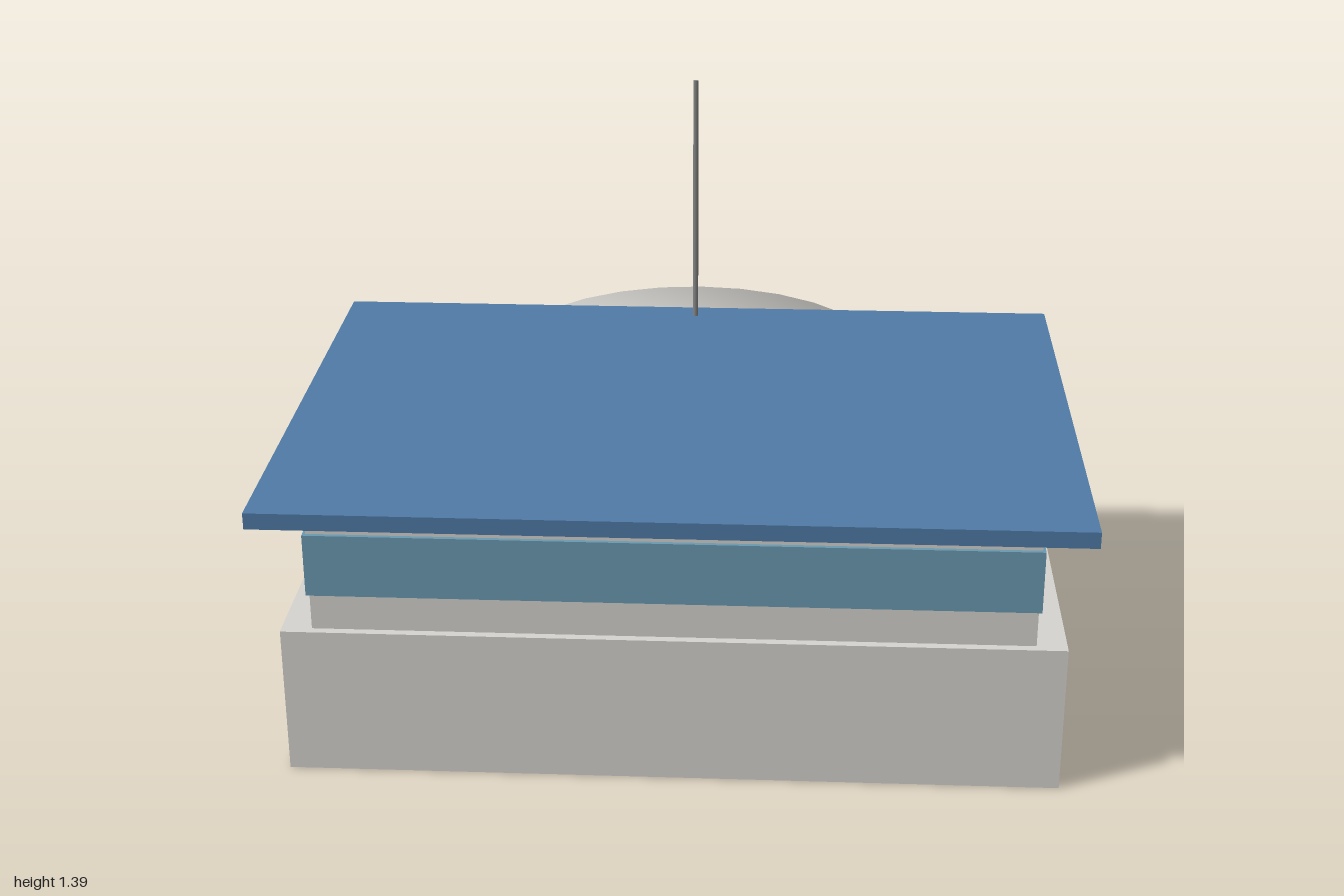
import * as THREE from 'three';
import { mergeVertices } from 'three/addons/utils/BufferGeometryUtils.js';

const material = (name, color) => {
  const m = new THREE.MeshStandardMaterial({ color });
  m.name = name;
  return m;
};

export function createModel() {
  const group = new THREE.Group();
  const wall = material('pale wall', 0xd6d4d0);
  const glass = material('blue glass', 0x6a9ab0);
  const roofBlue = material('roof blue', 0x4f7aa6);
  const timber = material('timber', 0xb8a082);
  const metal = material('grey metal', 0x858585);

  const add = (name, geometry, mat, x, y, z) => {
    const mesh = new THREE.Mesh(geometry, mat);
    mesh.name = name;
    mesh.position.set(x, y, z);
    group.add(mesh);
  };

  // Box centred on x, given by its half width and its y and z ranges
  const block = (name, mat, halfX, y0, y1, z0, z1) =>
    add(name, new THREE.BoxGeometry(2 * halfX, y1 - y0, z1 - z0), mat,
      0, (y0 + y1) / 2, (z0 + z1) / 2);

  // Capped drum with normals blended over its rims
  const drum = (name, mat, radius, y0, y1, z) => {
    const g = new THREE.CylinderGeometry(radius, radius, y1 - y0, 28);
    g.deleteAttribute('normal');
    g.deleteAttribute('uv');
    const merged = mergeVertices(g);
    merged.computeVertexNormals();
    add(name, merged, mat, 0, (y0 + y1) / 2, z);
  };

  // Storeys and terrace
  block('lowerStorey', wall, 0.92, 0.001, 0.372, -0.28, 0.8);
  block('terraceDeck', timber, 1, 0, 0.055, -0.895, -0.2);
  block('upperStorey', wall, 0.848, 0.37, 0.69, -0.1, 0.78);
  block('windowBand', glass, 0.855, 0.464, 0.62, -0.108, 0.79);

  // Rounded bay at the back
  drum('roundBay', wall, 0.522, 0.366, 0.688, -0.2);
  drum('bayWindowBand', glass, 0.53, 0.464, 0.62, -0.2);

  // Flat roof and mast
  block('roof', roofBlue, 0.96, 0.686, 0.726, -0.452, 0.895);
  add('mast', new THREE.CylinderGeometry(0.007, 0.007, 0.68, 8), metal, 0, 1.05, -0.393);

  return group;
}
